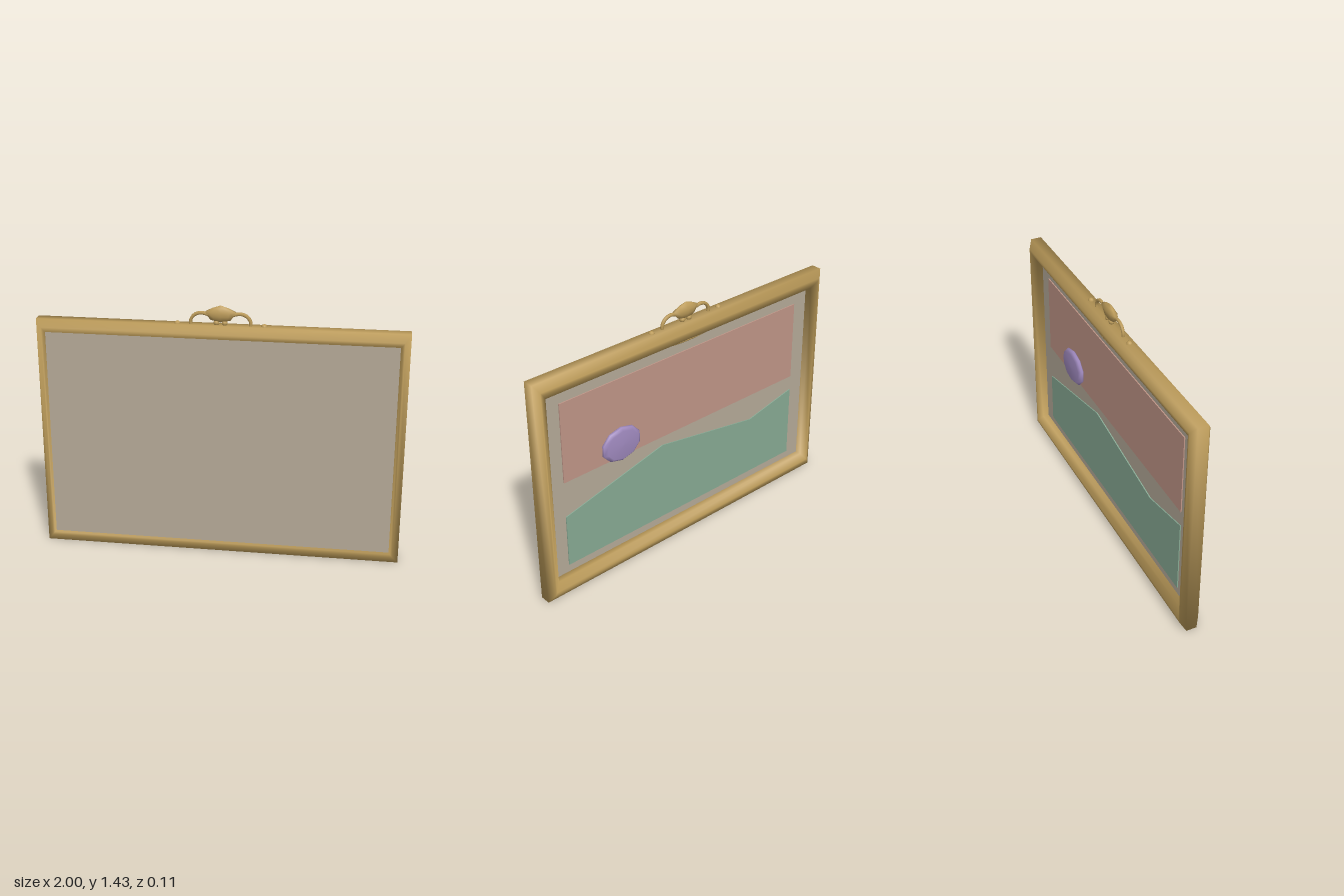
import * as THREE from 'three';

const W = 1, H = 1.325;

const mat = (name, color) => {
  const m = new THREE.MeshStandardMaterial({ color });
  m.name = name;
  return m;
};

// Mitred frame: one octagonal section carried round the four corners
function frameGeometry() {
  const section = [
    [0, 0.03], [0.042, 0.055], [0.058, 0.055], [0.1, 0.03],
    [0.1, -0.03], [0.058, -0.055], [0.042, -0.055], [0, -0.03],
  ];
  const corners = [[-1, -1], [1, -1], [1, 1], [-1, 1]];
  const pos = [], index = [], n = section.length;
  corners.forEach(([sx, sy], c) => {
    section.forEach(([t, z], i) => {
      pos.push(sx * (W - t * 0.75), H / 2 + sy * (H / 2 - t), z);
      const j = (i + 1) % n, d = ((c + 1) % 4) * n;
      index.push(c * n + i, d + i, d + j, c * n + i, d + j, c * n + j);
    });
  });
  const g = new THREE.BufferGeometry();
  g.setAttribute('position', new THREE.Float32BufferAttribute(pos, 3));
  g.setIndex(index);
  g.computeVertexNormals();
  return g;
}

export function createModel() {
  const model = new THREE.Group();
  const gold = mat('gold', 0xbd9c5a);
  const board = mat('board', 0xb5aa98);
  const rose = mat('rose', 0xc09688);
  const green = mat('green', 0x88aa94);
  const violet = mat('violet', 0xa08abf);

  const add = (name, geo, material, x = 0, y = 0, z = 0) => {
    const m = new THREE.Mesh(geo, material);
    m.name = name;
    m.position.set(x, y, z);
    model.add(m);
    return m;
  };

  add('frame', frameGeometry(), gold);

  // Board filling the opening
  add('backingBoard', new THREE.BoxGeometry(1.895, 1.19, 0.044), board, 0, H / 2, 0.027);

  // Painted landscape on the rear of the board
  add('sky', new THREE.BoxGeometry(1.66, 0.47, 0.008), rose, 0, 0.91, 0.003);
  const hills = new THREE.Shape([
    [0.83, 0.148], [0.83, 0.46], [0.167, 0.62], [-0.5, 0.51], [-0.83, 0.585], [-0.83, 0.148],
  ].map(([x, y]) => new THREE.Vector2(x, y)));
  add('hills', new THREE.ExtrudeGeometry(hills, { depth: 0.008, bevelEnabled: false }), green, 0, 0, -0.001);

  // Oval medallion with a bevelled rim
  const oval = new THREE.LatheGeometry(
    [[0.0001, -0.012], [0.9, -0.012], [1, 0], [0.97, 0.01], [0.82, 0.022], [0.0001, 0.024]]
      .map(([r, y]) => new THREE.Vector2(r, y)), 10);
  oval.rotateX(-Math.PI / 2);
  oval.scale(0.13, 0.102, 1);
  add('medallion', oval, violet, 0.46, 0.763, -0.008);

  // Crest on the top rail
  const crest = new THREE.LatheGeometry(
    [[0.0001, 1.338], [0.055, 1.35], [0.072, 1.37], [0.086, 1.395], [0.045, 1.415], [0.0001, 1.43]]
      .map(([r, y]) => new THREE.Vector2(r, y)), 10);
  crest.scale(1, 1, 0.28);
  add('crest', crest, gold);

  for (const s of [1, -1]) {
    const path = new THREE.CatmullRomCurve3(
      [[0.158, 1.31], [0.16, 1.345], [0.14, 1.375], [0.105, 1.387], [0.06, 1.378]]
        .map(([x, y]) => new THREE.Vector3(s * x, y, 0)));
    add('crestScroll', new THREE.TubeGeometry(path, 12, 0.01, 6), gold);
    add('crestFoot', new THREE.SphereGeometry(0.016, 8, 6), gold, s * 0.022, 1.335, 0);
    const bead = add('sideBead', new THREE.SphereGeometry(0.017, 8, 6), gold, s * 0.232, 1.322, 0);
    bead.rotation.z = s * -0.3;
  }

  // Lower end of the crest showing under the top rail
  const drop = new THREE.SphereGeometry(1, 16, 8);
  drop.scale(0.16, 0.012, 0.02);
  add('crestDrop', drop, gold, 0, 1.224, -0.012);

  return model;
}
